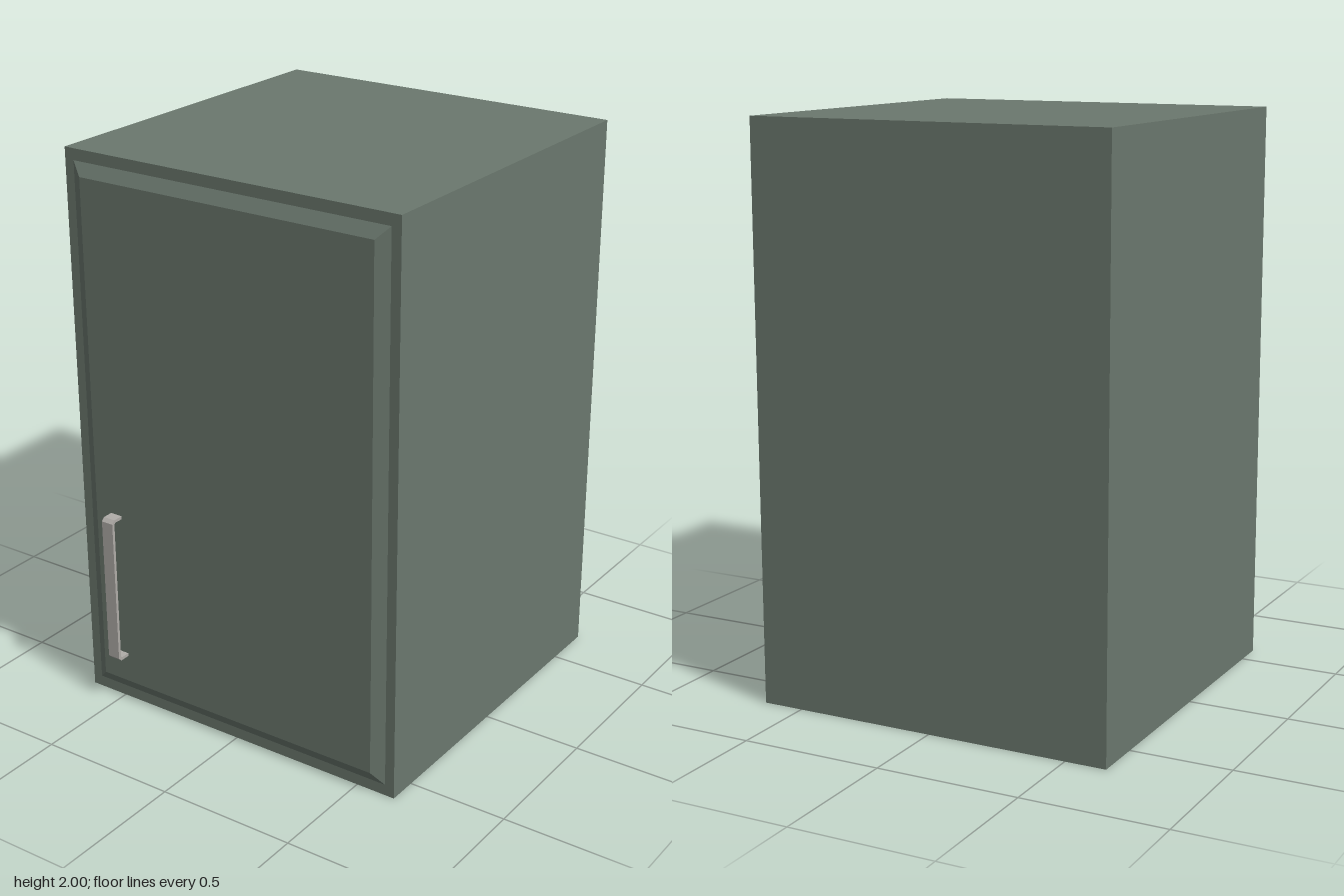
import * as THREE from 'three';

const paint = new THREE.MeshStandardMaterial({ color: 0x6b786e, flatShading: true });
const metal = new THREE.MeshStandardMaterial({ color: 0xb0aca8, flatShading: true });

const FRONT = 0.605, BACK = -0.68, DOOR = 0.63;

function addMesh(group, name, geometry, material) {
  const mesh = new THREE.Mesh(geometry, material);
  mesh.name = name;
  group.add(mesh);
  return mesh;
}

// Box whose front face is inset on all four sides, giving mitred bevels
function bevelledPanel(width, height, depth, inset) {
  const geometry = new THREE.BoxGeometry(width, height, depth);
  const p = geometry.attributes.position;
  for (let i = 0; i < p.count; i++) {
    if (p.getZ(i) > 0) {
      p.setX(i, p.getX(i) - Math.sign(p.getX(i)) * inset);
      p.setY(i, p.getY(i) - Math.sign(p.getY(i)) * inset);
    }
  }
  geometry.computeVertexNormals();
  return geometry;
}

// Flat bar bent into a bracket with chamfered corners, extruded across its width
function handleGeometry(height, reach, width) {
  const h = height / 2, t = 0.011, c = 0.012, k = 0.006;
  const shape = new THREE.Shape([
    [0, -h], [reach - c, -h], [reach, -h + c], [reach, h - c], [reach - c, h], [0, h],
    [0, h - t], [reach - t - k, h - t], [reach - t, h - t - k],
    [reach - t, -h + t + k], [reach - t - k, -h + t], [0, -h + t],
  ].map(([x, y]) => new THREE.Vector2(x, y)));
  const geometry = new THREE.ExtrudeGeometry(shape, { depth: width, bevelEnabled: false });
  geometry.translate(0, 0, -width / 2);
  geometry.rotateY(-Math.PI / 2); // reach now points along +z
  return geometry;
}

export function createModel() {
  const model = new THREE.Group();
  model.name = 'wallCabinet';

  // Closed carcass
  const body = addMesh(model, 'cabinetBody', new THREE.BoxGeometry(1.29, 2, FRONT - BACK), paint);
  body.position.set(0, 1, (FRONT + BACK) / 2);

  // Raised door panel
  const door = addMesh(model, 'doorPanel', bevelledPanel(1.22, 1.92, DOOR - FRONT, 0.043), paint);
  door.position.set(0, 1, (FRONT + DOOR) / 2);

  // Pull handle
  const handle = addMesh(model, 'handle', handleGeometry(0.55, 0.05, 0.046), metal);
  handle.position.set(-0.48, 0.46, DOOR);

  return model;
}
